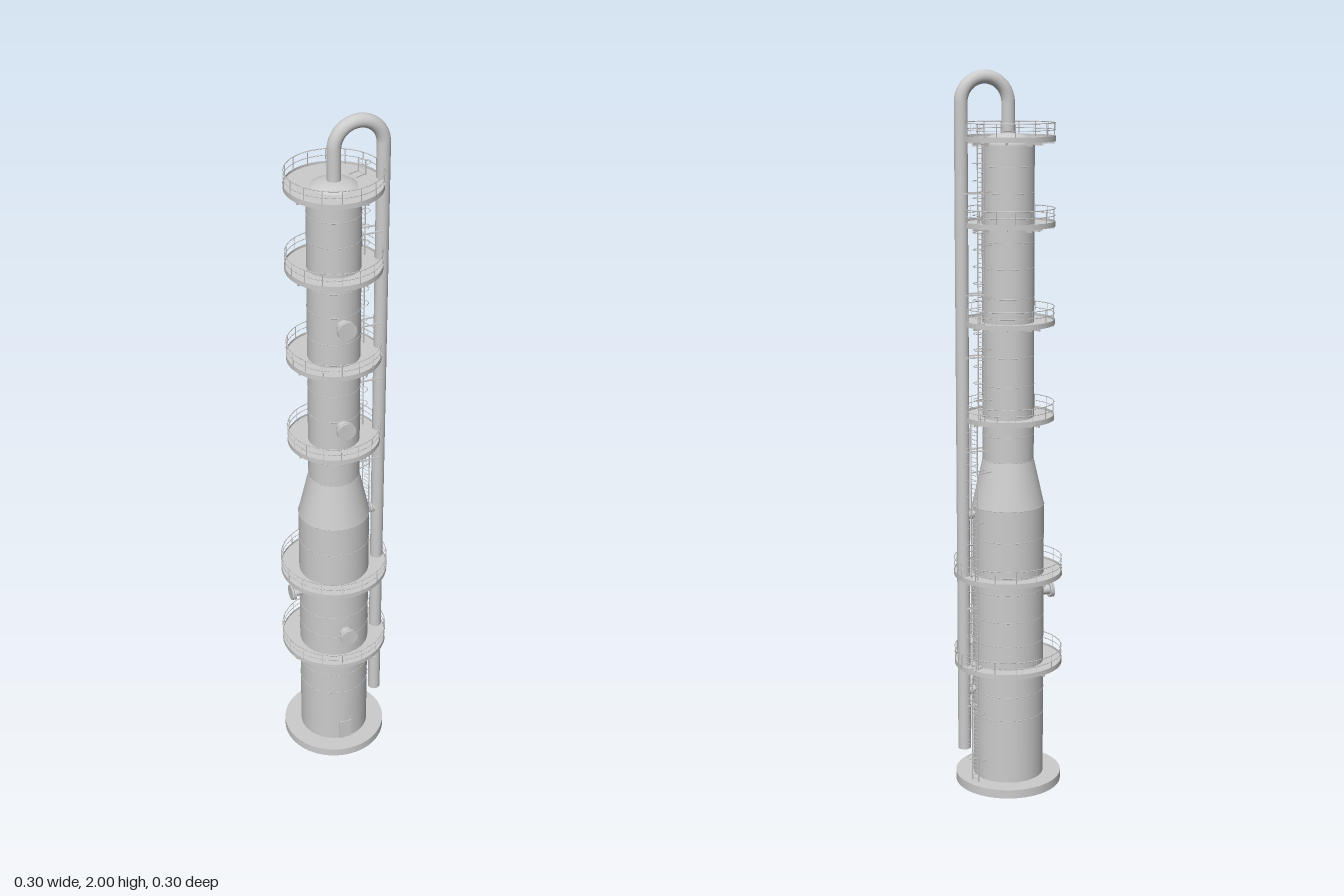
import * as THREE from 'three';

const mat = new THREE.MeshStandardMaterial({ color: 0xcccccc });
const matTwo = new THREE.MeshStandardMaterial({ color: 0xcccccc, side: THREE.DoubleSide });

function add(parent, name, geo, x = 0, y = 0, z = 0, material = mat) {
  const m = new THREE.Mesh(geo, material);
  m.name = name;
  m.position.set(x, y, z);
  parent.add(m);
  return m;
}

function group(parent, name) {
  const g = new THREE.Group();
  g.name = name;
  parent.add(g);
  return g;
}

// Horizontal thin ring
function ring(parent, name, radius, tube, y) {
  add(parent, name, new THREE.TorusGeometry(radius, tube, 5, 56), 0, y, 0).rotation.x = Math.PI / 2;
}

// Annular deck lying flat, its underside at y = 0
function deckGeometry(inner, outer, thick) {
  const s = new THREE.Shape().absarc(0, 0, outer, 0, Math.PI * 2);
  if (inner > 0) s.holes.push(new THREE.Path().absarc(0, 0, inner, 0, Math.PI * 2, true));
  return new THREE.ExtrudeGeometry(s, { depth: thick, bevelEnabled: false, curveSegments: 56 }).rotateX(-Math.PI / 2);
}

// Walkway with toe plate, handrails, posts and support beams
function platform(parent, y, inner, outer, solid) {
  const g = group(parent, 'platform');
  g.position.y = y;
  add(g, 'deck', deckGeometry(solid ? 0 : inner, outer, 0.007));
  add(g, 'toePlate', new THREE.CylinderGeometry(outer, outer, 0.014, 56, 1, true), 0, 0.007, 0, matTwo);
  ring(g, 'midRail', outer - 0.001, 0.0011, 0.03);
  ring(g, 'topRail', outer - 0.001, 0.0013, 0.048);
  const post = new THREE.CylinderGeometry(0.0011, 0.0011, 0.046, 5);
  for (let i = 0; i < 16; i++) {
    const a = (i + 0.5) * Math.PI / 8;
    add(g, 'post', post, Math.cos(a) * (outer - 0.001), 0.025, Math.sin(a) * (outer - 0.001));
  }
  const length = outer - inner + 0.005;
  const beam = new THREE.BoxGeometry(length, 0.007, 0.004);
  const gusset = new THREE.BoxGeometry(0.025, 0.01, 0.004);
  for (let i = 0; i < 8; i++) {
    const arm = group(g, 'bracket');
    arm.rotation.y = (i + 0.5) * Math.PI / 4;
    add(arm, 'beam', beam, outer - 0.002 - length / 2, -0.003, 0);
    add(arm, 'gusset', gusset, inner + 0.01, -0.007, 0);
  }
}

// Flanged nozzle pointing outward from the axis at angle a (0 is +x, 90 degrees is +z)
function nozzle(parent, name, y, a, shell, reach, r, flange) {
  const g = group(parent, name);
  g.position.y = y;
  g.rotation.y = -a;
  const part = (n, radius, from, to) =>
    add(g, n, new THREE.CylinderGeometry(radius, radius, to - from, 24), (from + to) / 2, 0, 0).rotation.z = Math.PI / 2;
  part('neck', r, shell - 0.015, shell + reach);
  part('flange', flange, shell + reach - 0.012, shell + reach - 0.007);
  part('cover', flange, shell + reach - 0.005, shell + reach);
}

// Caged ladder standing radially off the shell
function ladder(parent, y0, y1, radius, shellAt, cageFrom) {
  const g = group(parent, 'ladder');
  g.rotation.y = 0.40;
  const h = y1 - y0, half = 0.013;
  for (const s of [-1, 1])
    add(g, 'stringer', new THREE.BoxGeometry(0.003, h, 0.002), radius, (y0 + y1) / 2, s * half);
  const rung = new THREE.CylinderGeometry(0.001, 0.001, half * 2, 5).rotateX(Math.PI / 2);
  for (let y = y0 + 0.008; y < y1; y += 0.0125) add(g, 'rung', rung, radius, y, 0);
  // Cage hoops and upright straps
  const hoopPts = [];
  for (let i = 0; i <= 12; i++) {
    const t = -Math.PI / 2 + i * Math.PI / 12;
    hoopPts.push(new THREE.Vector3(radius + Math.cos(t) * 0.025, 0, Math.sin(t) * (half + 0.004)));
  }
  const hoop = new THREE.TubeGeometry(new THREE.CatmullRomCurve3(hoopPts), 14, 0.001, 4);
  for (let y = cageFrom; y < y1; y += 0.045) add(g, 'cageHoop', hoop, 0, y, 0);
  // Standoffs
  for (let y = y0 + 0.06; y < y1 - 0.03; y += 0.14) {
    const r = shellAt(y), len = radius - r + 0.006;
    for (const s of [-1, 1])
      add(g, 'standoff', new THREE.BoxGeometry(len, 0.003, 0.002), radius - len / 2, y, s * half);
  }
}

export function createModel() {
  const root = new THREE.Group();
  root.name = 'processColumn';
  const R = 0.1, r = 0.071, coneLow = 0.82, coneTop = 0.95, top = 1.805;
  const shellAt = y => y < coneLow ? R : y > coneTop ? r : R + (r - R) * (y - coneLow) / (coneTop - coneLow);

  // Foundation and shell
  add(root, 'basePlinth', new THREE.CylinderGeometry(0.15, 0.15, 0.025, 64), 0, 0.0125, 0);
  add(root, 'lowerShell', new THREE.CylinderGeometry(R, R, coneLow - 0.02, 56), 0, (coneLow + 0.02) / 2, 0);
  add(root, 'coneTransition', new THREE.CylinderGeometry(r, R, coneTop - coneLow, 56, 1, true), 0, (coneTop + coneLow) / 2, 0);
  add(root, 'upperShell', new THREE.CylinderGeometry(r, r, top - coneTop, 56), 0, (top + coneTop) / 2, 0);
  const dome = add(root, 'domeHead', new THREE.SphereGeometry(r, 48, 12, 0, Math.PI * 2, 0, Math.PI / 2), 0, top, 0);
  dome.scale.y = 0.45;

  // Seam bands
  for (const y of [0.21, 0.28, 0.43, 0.50, 0.58, 0.73, coneLow, coneTop, 1.02, 1.16, 1.24, 1.40, 1.48, 1.55, 1.68, 1.75])
    ring(root, 'seamBand', shellAt(y), 0.001, y);

  // Skirt access door
  add(root, 'skirtDoor', new THREE.BoxGeometry(0.036, 0.065, 0.012), 0, 0.058, 0.096);

  // Walkways
  for (const y of [0.355, 0.617]) platform(root, y, R, 0.152);
  for (const y of [1.062, 1.325, 1.59]) platform(root, y, r, 0.127);
  platform(root, 1.815, r, 0.127, true);

  // Manways and nozzles
  const front = Math.PI / 2;
  nozzle(root, 'manway', 0.445, front, R, 0.03, 0.019, 0.026);
  nozzle(root, 'manway', 1.145, front, r, 0.03, 0.019, 0.026);
  nozzle(root, 'manway', 1.455, front, r, 0.03, 0.019, 0.026);
  nozzle(root, 'feedNozzle', 0.555, Math.PI, R, 0.034, 0.014, 0.023);
  for (const y of [0.285, 0.8]) nozzle(root, 'sideNozzle', y, 0, R, 0.02, 0.009, 0.015);

  // Overhead vapour pipe: riser, return bend and long downcomer
  const px = 0.132, pr = 0.018, bend = px / 2, by = 2 - pr - bend;
  const pipe = group(root, 'overheadPipe');
  add(pipe, 'riser', new THREE.CylinderGeometry(pr, pr, by - 1.82, 28), 0, (by + 1.82) / 2, 0);
  add(pipe, 'returnBend', new THREE.TorusGeometry(bend, pr, 28, 36, Math.PI), bend, by, 0);
  add(pipe, 'downcomer', new THREE.CylinderGeometry(pr, pr, by - 0.11, 28), px, (by + 0.11) / 2, 0);

  // Pipe supports
  for (const y of [0.24, 0.53, 0.98, 1.24, 1.41, 1.68]) {
    const len = px - shellAt(y) + 0.005;
    for (const s of [-1, 1])
      add(root, 'pipeSupport', new THREE.BoxGeometry(len, 0.004, 0.003), px - len / 2, y, s * 0.0185);
  }

  // Access ladders
  ladder(root, 0.025, 1.07, 0.126, shellAt, 0.10);
  ladder(root, 1.065, 1.862, 0.098, shellAt, 1.13);
  return root;
}
